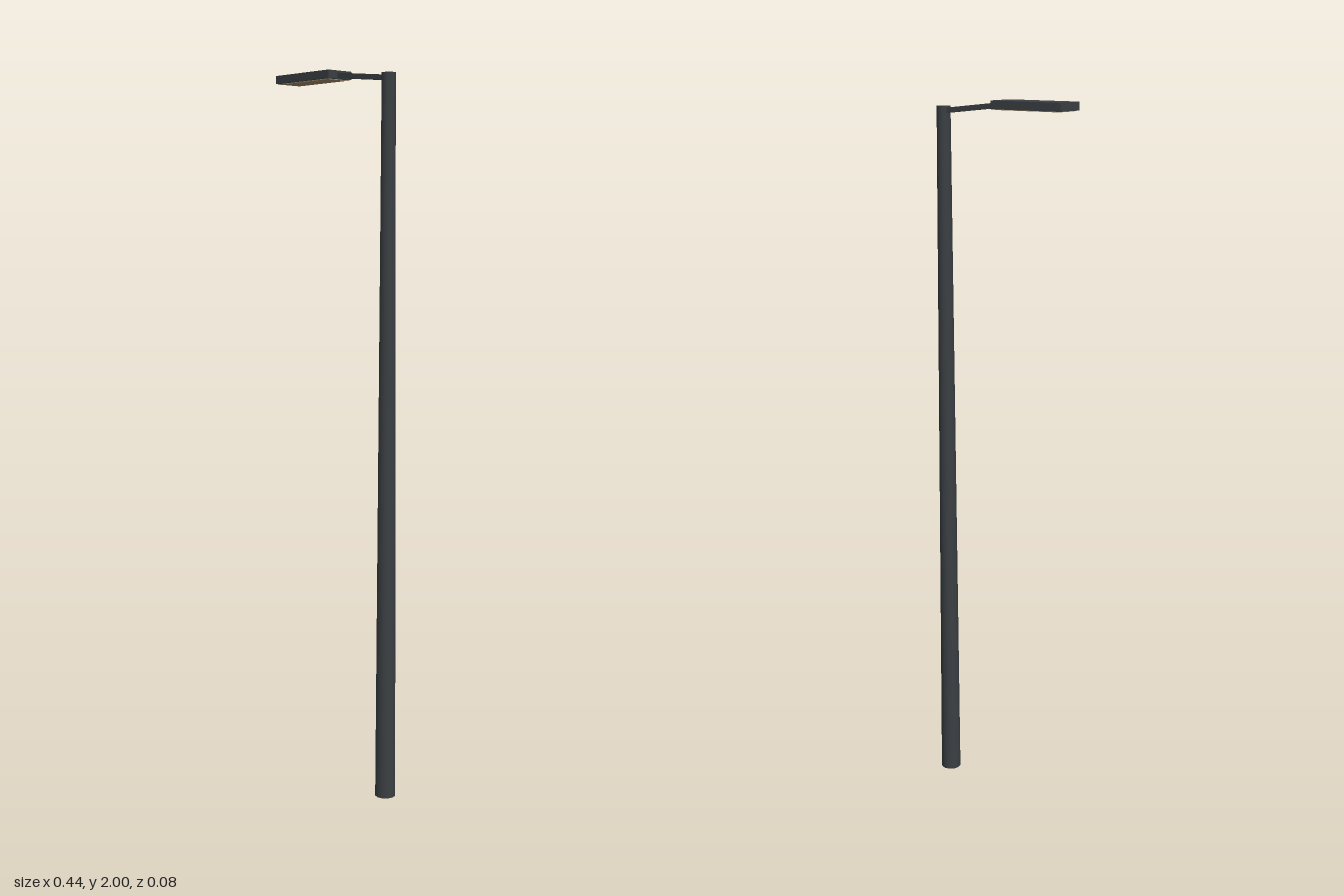
import * as THREE from 'three';

export function createModel() {
  const model = new THREE.Group();
  const metal = new THREE.MeshStandardMaterial({ color: 0x3b4044 });
  const glass = new THREE.MeshStandardMaterial({ color: 0xa89070 });

  const add = (name, geometry, material, x, y, z = 0) => {
    const mesh = new THREE.Mesh(geometry, material);
    mesh.name = name;
    mesh.position.set(x, y, z);
    model.add(mesh);
    return mesh;
  };

  // Tapered round pole
  const poleX = 0.19, poleHeight = 1.98;
  add('pole', new THREE.CylinderGeometry(0.019, 0.029, poleHeight, 12), metal, poleX, poleHeight / 2);

  // Square arm rising gently from the pole to the lamp
  const start = new THREE.Vector2(poleX, 1.967);
  const end = new THREE.Vector2(-0.02, 1.989);
  const span = end.clone().sub(start);
  const arm = add('arm', new THREE.BoxGeometry(span.length(), 0.014, 0.016), metal,
    (start.x + end.x) / 2, (start.y + end.y) / 2);
  arm.rotation.z = Math.atan2(-span.y, -span.x);

  // Flat lamp housing with a pale panel underneath
  const headX = -0.11;
  add('lampHousing', new THREE.BoxGeometry(0.22, 0.022, 0.084), metal, headX, 1.989);
  add('lampPanel', new THREE.BoxGeometry(0.2, 0.004, 0.07), glass, headX, 1.978);

  return model;
}
